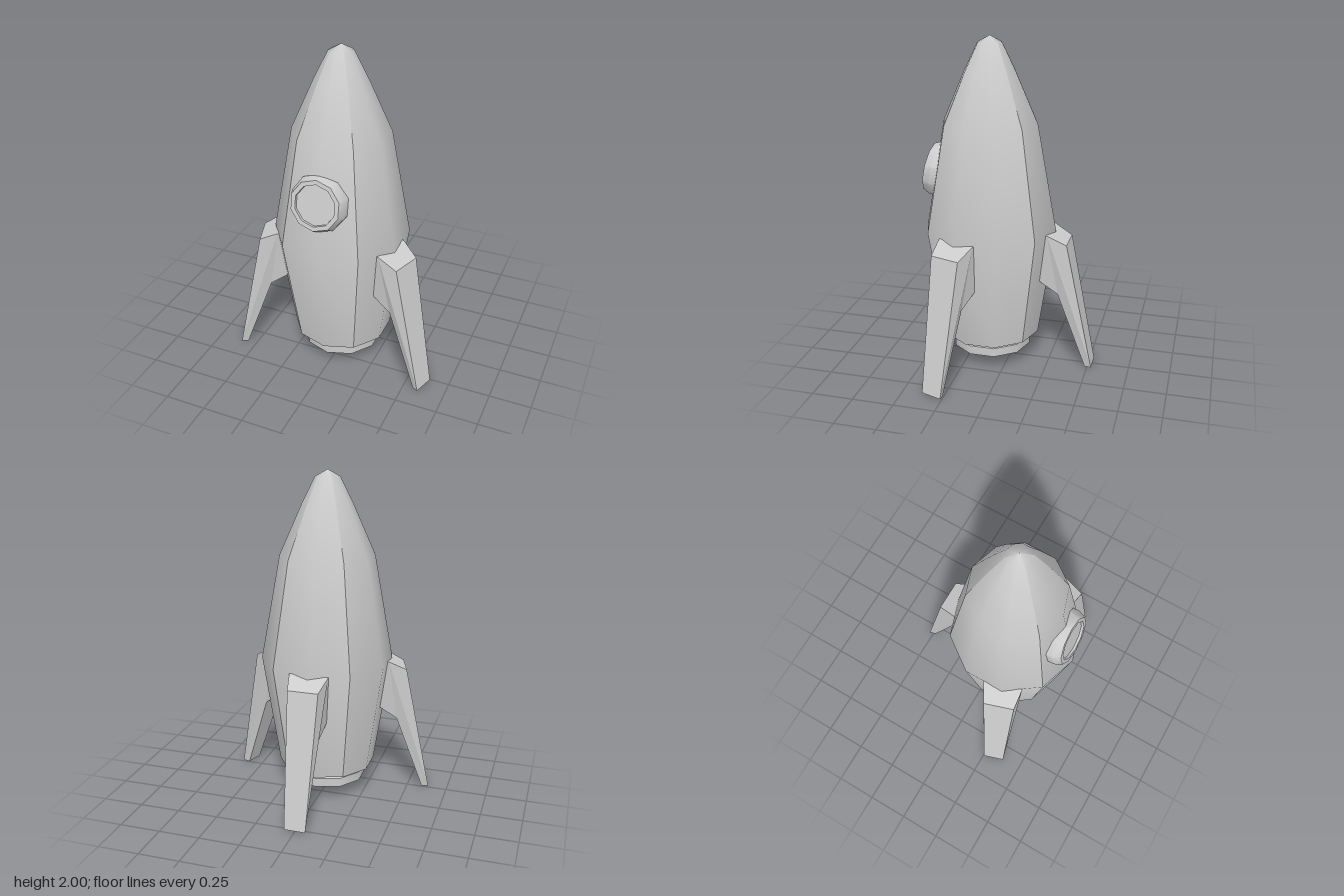
import * as THREE from 'three';
import { toCreasedNormals } from 'three/addons/utils/BufferGeometryUtils.js';

const grey = new THREE.MeshStandardMaterial({ color: 0xcccccc });
const SIDES = 10;
const STEP = (Math.PI * 2) / SIDES;
const vec = ([x, y]) => new THREE.Vector2(x, y);

function addMesh(parent, name, geometry) {
  const mesh = new THREE.Mesh(geometry, grey);
  mesh.name = name;
  parent.add(mesh);
  return mesh;
}

// Ten-sided turned part with sharp rims
function turned(profile) {
  return toCreasedNormals(new THREE.LatheGeometry(profile.map(vec), SIDES), 0.7);
}

// Leg outline: distance from the hull axis, height, half width
const LEG = [
  [0.3, 0.865, 0.12], [0.37, 0.865, 0.118], [0.482, 0.805, 0.092],
  [0.645, 0.005, 0.065], [0.605, 0, 0.054], [0.43, 0.48, 0.074], [0.3, 0.58, 0.1],
];

// Extruded outline whose thickness varies from corner to corner
function legGeometry() {
  const geometry = new THREE.ExtrudeGeometry(new THREE.Shape(LEG.map(vec)), { depth: 2, bevelEnabled: false });
  geometry.translate(0, 0, -1);
  const pos = geometry.attributes.position;
  for (let i = 0; i < pos.count; i++) {
    const corner = LEG.find(([r, y]) => Math.hypot(r - pos.getX(i), y - pos.getY(i)) < 0.001);
    pos.setZ(i, pos.getZ(i) * corner[2]);
  }
  geometry.computeVertexNormals();
  return geometry;
}

export function createModel() {
  const model = new THREE.Group();
  model.name = 'rocket';
  const rocket = new THREE.Group();
  rocket.name = 'rocketBody';
  rocket.position.z = 0.12;
  model.add(rocket);

  // Hull: four smooth panels meeting at sharp seams
  const hull = [[0.295, 0.18], [0.4, 0.86], [0.284, 1.5], [0.152, 1.8], [0.073, 1.96], [0, 2]].map(vec);
  const panels = [['frontPanel', -1, 2], ['leftPanel', 1, 3], ['backPanel', 4, 2], ['rightPanel', 6, 3]];
  for (const [name, start, count] of panels) {
    const geometry = new THREE.LatheGeometry(hull, count, start * STEP, count * STEP);
    geometry.computeVertexNormals();
    addMesh(rocket, name, geometry);
  }

  // Flat underside of the hull
  addMesh(rocket, 'hullBase', turned([[0, 0.18], [0.295, 0.18]]));

  // Hollow engine nozzle with a narrower neck
  addMesh(rocket, 'nozzle', turned([
    [0, 0.165], [0.19, 0.165], [0.19, 0.09], [0.242, 0.09], [0.242, 0.145], [0.226, 0.15], [0.226, 0.181],
  ]));

  // Porthole with a bevelled frame and recessed glass, leaning with the hull
  const porthole = turned([
    [0.168, -0.16], [0.168, -0.045], [0.148, 0], [0.122, 0], [0.12, -0.015], [0, -0.015],
  ]);
  porthole.rotateX(Math.PI / 2);
  const window = addMesh(rocket, 'porthole', porthole);
  window.position.set(0, 1.203, 0.373);
  window.rotation.x = -0.19;

  // Three landing legs, on the back and side corners of the hull
  const leg = legGeometry();
  const legs = [['backLeg', Math.PI / 2], ['leftLeg', -STEP / 2], ['rightLeg', Math.PI + STEP / 2]];
  for (const [name, angle] of legs) addMesh(rocket, name, leg).rotation.y = angle;

  return model;
}
